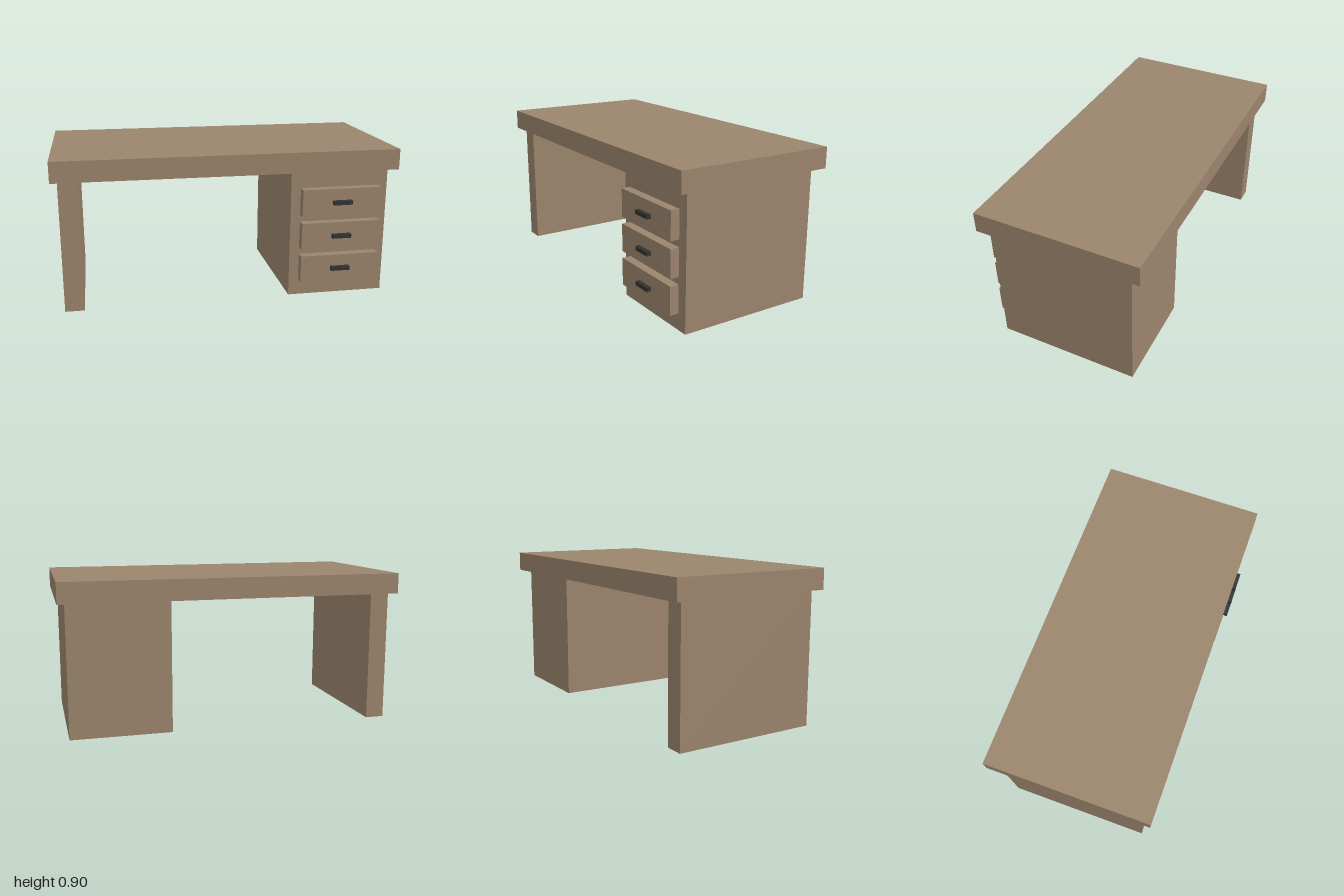
import * as THREE from 'three';

const wood = new THREE.MeshStandardMaterial({ color: 0x9b846c });
const dark = new THREE.MeshStandardMaterial({ color: 0x333333 });

// Box given by its limits on each axis
function box(name, [x0, x1], [y0, y1], [z0, z1], material = wood) {
  const mesh = new THREE.Mesh(new THREE.BoxGeometry(x1 - x0, y1 - y0, z1 - z0), material);
  mesh.position.set((x0 + x1) / 2, (y0 + y1) / 2, (z0 + z1) / 2);
  mesh.name = name;
  return mesh;
}

export function createModel() {
  const desk = new THREE.Group();
  desk.name = 'desk';

  // Thick top, side panel leg and drawer cabinet
  desk.add(
    box('desktop', [-1, 1], [0.775, 0.896], [-0.49, 0.474]),
    box('sidePanel', [-0.962, -0.85], [0, 0.775], [-0.44, 0.425]),
    box('cabinet', [0.37, 0.958], [0.003, 0.775], [-0.425, 0.409])
  );

  // Three drawers: front board, narrower body behind it, and a dark handle
  [0.184, 0.387, 0.591].forEach((y, i) => {
    const drawer = new THREE.Group();
    drawer.name = `drawer${i + 1}`;
    drawer.add(
      box('drawerFront', [0.427, 0.903], [y - 0.081, y + 0.081], [0.415, 0.467]),
      box('drawerBody', [0.435, 0.895], [y - 0.072, y + 0.072], [0.38, 0.415]),
      box('handle', [0.608, 0.722], [y - 0.012, y + 0.012], [0.467, 0.493], dark)
    );
    desk.add(drawer);
  });

  return desk;
}
